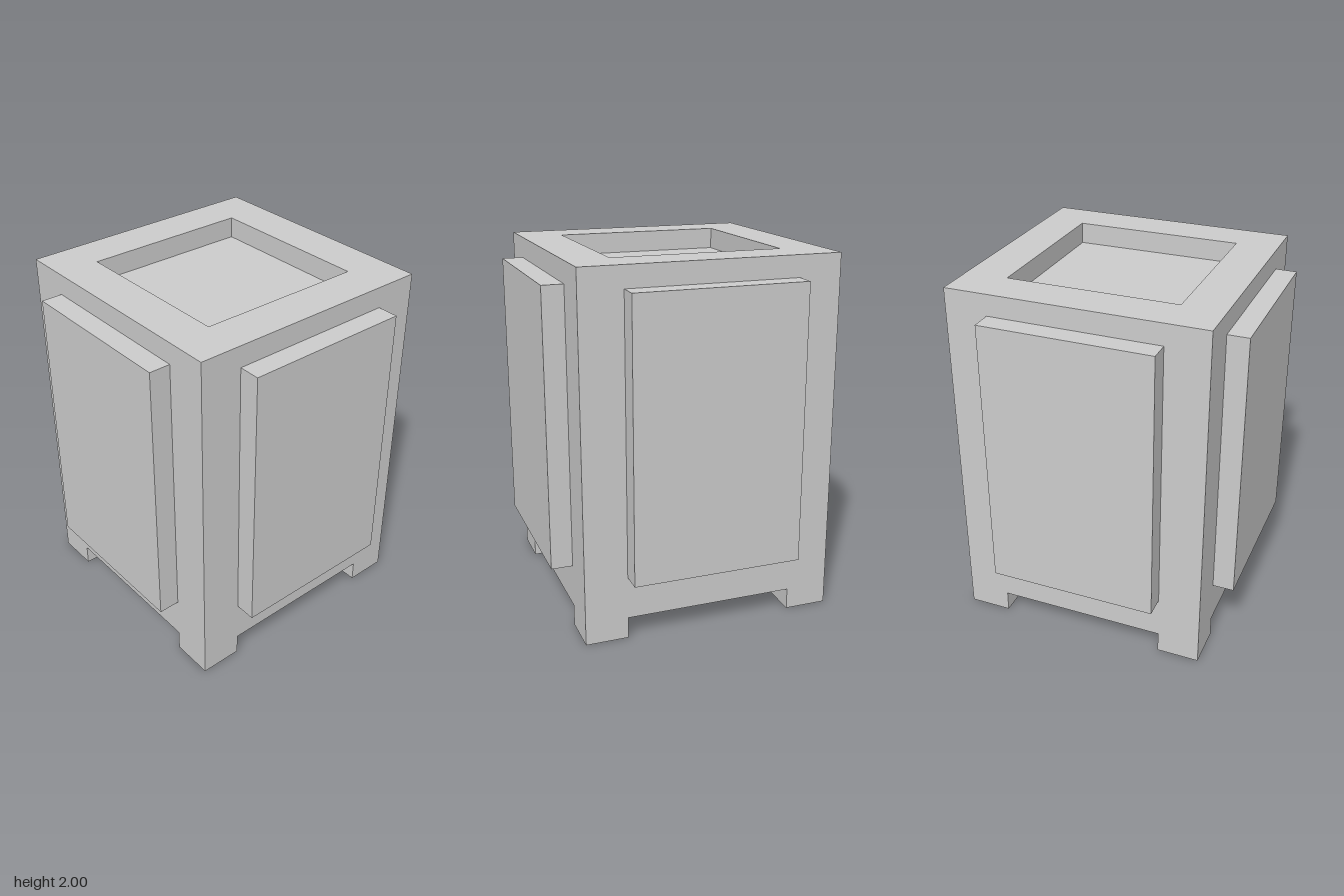
import * as THREE from 'three';

const U = 2 / 17; // modular unit: the bin is 17 units tall

export function createModel() {
  const model = new THREE.Group();
  model.name = 'squareBin';
  const material = new THREE.MeshStandardMaterial({ color: 0xcccccc, flatShading: true });

  const add = (name, geometry, x, y, z, parent = model) => {
    const mesh = new THREE.Mesh(geometry, material);
    mesh.name = name;
    mesh.position.set(x * U, y * U, z * U);
    parent.add(mesh);
    return mesh;
  };
  const box = (w, h, d) => new THREE.BoxGeometry(w * U, h * U, d * U);
  const square = (Type, half) => {
    const s = half * U;
    return new Type([[-s, -s], [s, -s], [s, s], [-s, s]].map(([x, y]) => new THREE.Vector2(x, y)));
  };

  // Main body, up to the floor of the top recess
  add('body', box(12, 15, 12), 0, 8.5, 0);

  // Square rim around the recess
  const outline = square(THREE.Shape, 6);
  outline.holes.push(square(THREE.Path, 4));
  const rim = new THREE.ExtrudeGeometry(outline, { depth: U, bevelEnabled: false });
  rim.rotateX(-Math.PI / 2);
  add('topRim', rim, 0, 16, 0);

  // Raised panel on each of the four sides
  ['front', 'left', 'back', 'right'].forEach((side, i) => {
    const holder = new THREE.Group();
    holder.name = side + 'Side';
    holder.rotation.y = i * Math.PI / 2;
    model.add(holder);
    add(side + 'Panel', box(8, 13, 1), 0, 9.5, 6.5, holder);
  });

  // Corner feet, flush with the body
  for (const x of [-1, 1]) {
    for (const z of [-1, 1]) {
      add((z > 0 ? 'front' : 'back') + (x > 0 ? 'Left' : 'Right') + 'Foot', box(2, 1, 2), x * 5, 0.5, z * 5);
    }
  }
  return model;
}
